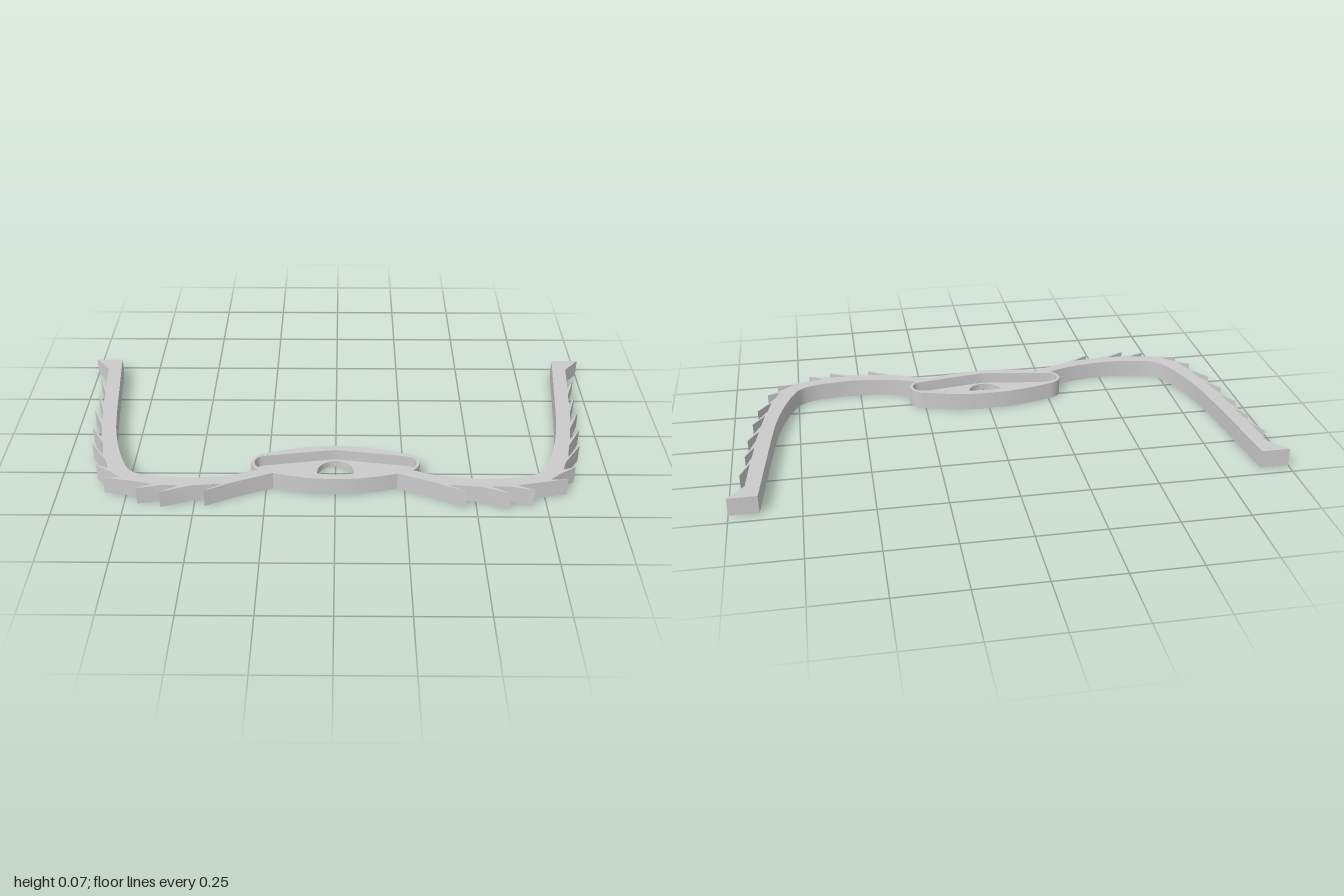
import * as THREE from 'three';
import { toCreasedNormals } from 'three/addons/utils/BufferGeometryUtils.js';

const HEIGHT = 0.068, FLOOR = 0.025, HUB_Z = 0.272;
const material = new THREE.MeshStandardMaterial({ color: 0xcccccc });

const spline = (pts, n) =>
  new THREE.CatmullRomCurve3(pts.map(([x, z]) => new THREE.Vector3(x, z, 0)), false, 'centripetal')
    .getPoints(n).map(p => [p.x, p.y]);

// Plan points are [x, z]; loops are wound one way so that all walls face outwards.
function toLoop(pts, clockwise) {
  const loop = pts.map(([x, z]) => new THREE.Vector2(x, -z));
  return THREE.ShapeUtils.isClockWise(loop) === clockwise ? loop : loop.reverse();
}

// Upright slab over a plan outline, rising from y = bottom
function slab(name, outline, hole, bottom, height) {
  const shape = new THREE.Shape(toLoop(outline, false));
  if (hole) shape.holes.push(new THREE.Path(toLoop(hole, true)));
  const geometry = new THREE.ExtrudeGeometry(shape, { depth: height, bevelEnabled: false });
  geometry.rotateX(-Math.PI / 2).translate(0, bottom, 0);
  const mesh = new THREE.Mesh(toCreasedNormals(geometry, 0.4), material);
  mesh.name = name;
  return mesh;
}

// Repeat a quarter outline (centre back to right end) in all four quadrants.
function fourWay(quarter) {
  const right = [...quarter, ...quarter.slice(0, -1).reverse().map(([x, z]) => [x, -z])];
  const left = right.slice(1, -1).reverse().map(([x, z]) => [-x, z]);
  return [...right, ...left].map(([x, z]) => [x, z + HUB_Z]);
}

function armOutline(side) {
  const inner = spline([[0.27, 0.315], [0.34, 0.342], [0.43, 0.362], [0.535, 0.37], [0.62, 0.364], [0.69, 0.351],
    [0.74, 0.325], [0.775, 0.265], [0.808, 0.17], [0.832, 0.07], [0.847, -0.03], [0.871, -0.24], [0.895, -0.455]], 48);
  // Outer edge: each barb is root, tip, notch, all leaning towards the arm's end.
  const barbs = [
    [[0.36, 0.394], [0.462, 0.446], [0.4, 0.404]],
    [[0.51, 0.415], [0.618, 0.453], [0.55, 0.414]],
    [[0.61, 0.412], [0.703, 0.434], [0.645, 0.406]],
    [[0.735, 0.388], [0.83, 0.368], [0.768, 0.372]],
    [[0.805, 0.338], [0.868, 0.295], [0.822, 0.31]],
    [[0.838, 0.265], [0.905, 0.163], [0.853, 0.23]],
    [[0.866, 0.16], [0.922, 0.057], [0.877, 0.12]],
    [[0.89, 0.045], [0.938, -0.066], [0.897, 0]],
    [[0.908, -0.07], [0.945, -0.184], [0.912, -0.115]],
    [[0.92, -0.19], [0.96, -0.31], [0.926, -0.235]],
  ].flat();
  const outer = [[0.215, 0.335], [0.28, 0.362], ...barbs, [0.94, -0.383], [1, -0.455]];
  return [...inner, ...outer.reverse()].map(([x, z]) => [side * x, z]);
}

export function createModel() {
  const group = new THREE.Group();
  group.name = 'barbedBracket';

  // Hub: rim around a sunken floor with a round hole
  const rimOuter = fourWay(spline([[0, -0.102], [0.08, -0.098], [0.16, -0.084], [0.235, -0.063],
    [0.275, -0.049], [0.298, -0.027], [0.307, 0]], 28));
  const rimInner = fourWay([[0, -0.077], [0.03, -0.074],
    ...spline([[0.26, -0.038], [0.28, -0.031], [0.291, -0.016], [0.294, 0]], 8)]);
  const bore = Array.from({ length: 48 }, (_, i) => {
    const a = i / 48 * Math.PI * 2;
    return [0.067 * Math.cos(a), HUB_Z + 0.067 * Math.sin(a)];
  });
  group.add(slab('hubFloor', rimOuter, bore, 0, FLOOR));
  group.add(slab('hubRim', rimOuter, rimInner, FLOOR, HEIGHT - FLOOR));

  // Barbed arms, mirrored
  group.add(slab('leftArm', armOutline(1), null, 0, HEIGHT));
  group.add(slab('rightArm', armOutline(-1), null, 0, HEIGHT));
  return group;
}
